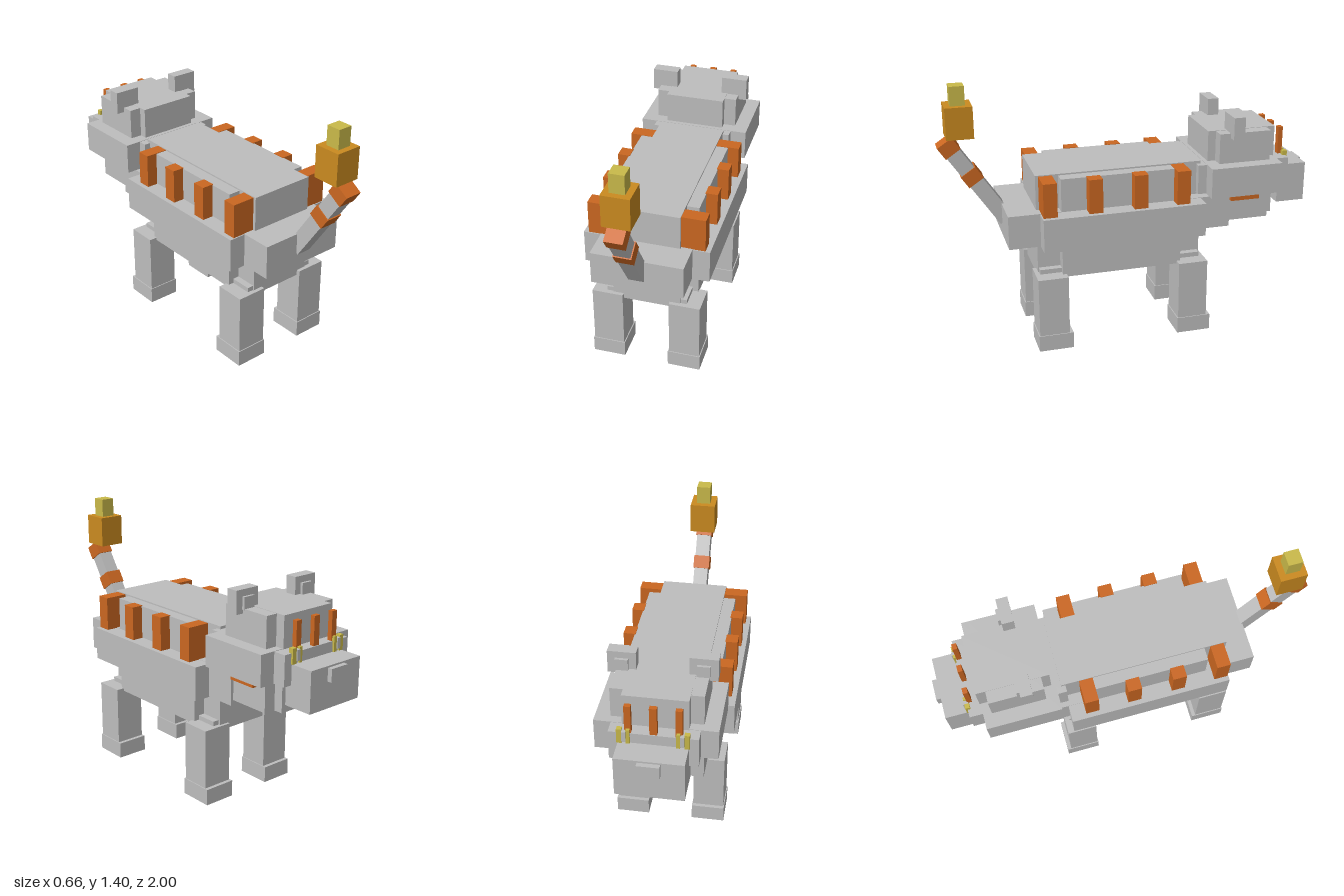
import * as THREE from 'three';

const mat = (name, color) => {
  const m = new THREE.MeshStandardMaterial({ color });
  m.name = name;
  return m;
};

export function createModel() {
  const grey = mat('grey fur', 0xbebebe);
  const orange = mat('orange stripe', 0xcb6721);
  const gold = mat('gold flame', 0xcb8b20);
  const yellow = mat('pale yellow', 0xcaba4a);

  const model = new THREE.Group();
  model.name = 'stripedBeast';

  // Box given by its extents
  const box = (name, m, [x0, x1], [y0, y1], [z0, z1], parent = model) => {
    const mesh = new THREE.Mesh(new THREE.BoxGeometry(x1 - x0, y1 - y0, z1 - z0), m);
    mesh.position.set((x0 + x1) / 2, (y0 + y1) / 2, (z0 + z1) / 2);
    mesh.name = name;
    parent.add(mesh);
    return mesh;
  };
  const centred = (name, m, half, y, z) => box(name, m, [-half, half], y, z);
  const pair = (name, m, [x0, x1], y, z) => {
    box(name + 'Left', m, [x0, x1], y, z);
    box(name + 'Right', m, [-x1, -x0], y, z);
  };

  // Body: stepped blocks, each a long narrow box crossed by a shorter wide one
  centred('back', grey, 0.18, [0.76, 0.945], [-0.36, 0.53]);
  centred('backSides', grey, 0.245, [0.76, 0.937], [-0.24, 0.41]);
  centred('middle', grey, 0.24, [0.58, 0.76], [-0.51, 0.685]);
  centred('middleSides', grey, 0.33, [0.578, 0.758], [-0.345, 0.52]);
  centred('belly', grey, 0.18, [0.38, 0.58], [-0.36, 0.53]);
  centred('bellySides', grey, 0.245, [0.395, 0.58], [-0.235, 0.41]);

  // Flank stripes, the end ones reaching further in
  [[-0.265, 0.18], [-0.035, 0.24], [0.205, 0.24], [0.442, 0.18]].forEach(([z, x]) =>
    pair('flankStripe', orange, [x, 0.305], [0.757, 0.94], [z, z + 0.072]));

  // Legs with feet and small hip blocks
  const legs = [
    ['frontLeg', [-0.375, -0.215], [-0.395, -0.21], [-0.35, -0.235]],
    ['backLeg', [0.39, 0.55], [0.37, 0.555], [0.41, 0.525]],
  ];
  for (const [name, leg, foot, hip] of legs) {
    pair(name, grey, [0.125, 0.29], [0.05, 0.41], leg);
    pair(name + 'Foot', grey, [0.12, 0.295], [0, 0.088], foot);
    pair(name + 'Hip', grey, [0.14, 0.215], [0.38, 0.435], hip);
  }

  // Head: throat, cheeks and crown
  centred('throat', grey, 0.16, [0.605, 0.78], [-0.785, -0.4]);
  centred('throatSides', grey, 0.225, [0.607, 0.78], [-0.735, -0.45]);
  centred('cheeksCore', grey, 0.215, [0.77, 0.93], [-0.85, -0.338]);
  centred('cheeks', grey, 0.3, [0.768, 0.932], [-0.78, -0.385]);
  centred('crown', grey, 0.16, [0.92, 1.097], [-0.785, -0.407]);
  centred('crownSides', grey, 0.225, [0.92, 1.095], [-0.735, -0.45]);
  pair('throatStripe', orange, [0.2, 0.25], [0.725, 0.769], [-0.675, -0.515]);

  // Muzzle and nose
  centred('muzzle', grey, 0.168, [0.66, 0.875], [-0.975, -0.815]);
  centred('nose', grey, 0.055, [0.798, 0.866], [-1, -0.97]);

  // Ears
  pair('ear', grey, [0.128, 0.268], [1.07, 1.19], [-0.572, -0.51]);
  pair('innerEar', grey, [0.165, 0.23], [1.09, 1.155], [-0.587, -0.57]);

  // Brow stripes and eyes
  centred('browStripe', orange, 0.018, [0.925, 1.08], [-0.845, -0.82]);
  pair('browStripe', orange, [0.105, 0.137], [0.925, 1.08], [-0.845, -0.82]);
  pair('eyeInner', yellow, [0.11, 0.128], [0.876, 0.955], [-0.86, -0.846]);
  pair('eyeOuter', yellow, [0.148, 0.173], [0.876, 0.955], [-0.86, -0.835]);
  pair('pupil', grey, [0.128, 0.148], [0.89, 0.945], [-0.866, -0.84]);

  // Leaning tail with two bands, origin at the upper band
  const tail = new THREE.Group();
  tail.name = 'tail';
  tail.position.set(0, 1.083, 0.938);
  tail.rotation.x = 0.59;
  model.add(tail);
  box('tailShaft', grey, [-0.04, 0.04], [-0.5, 0.03], [-0.04, 0.04], tail);
  for (const y of [0, -0.197])
    box('tailBand', orange, [-0.046, 0.046], [y - 0.037, y + 0.037], [-0.046, 0.046], tail);

  // Flame on the tail tip
  centred('flame', gold, 0.07, [1.133, 1.3], [0.81, 0.95]);
  centred('flameTip', yellow, 0.038, [1.29, 1.4], [0.843, 0.919]);

  return model;
}
